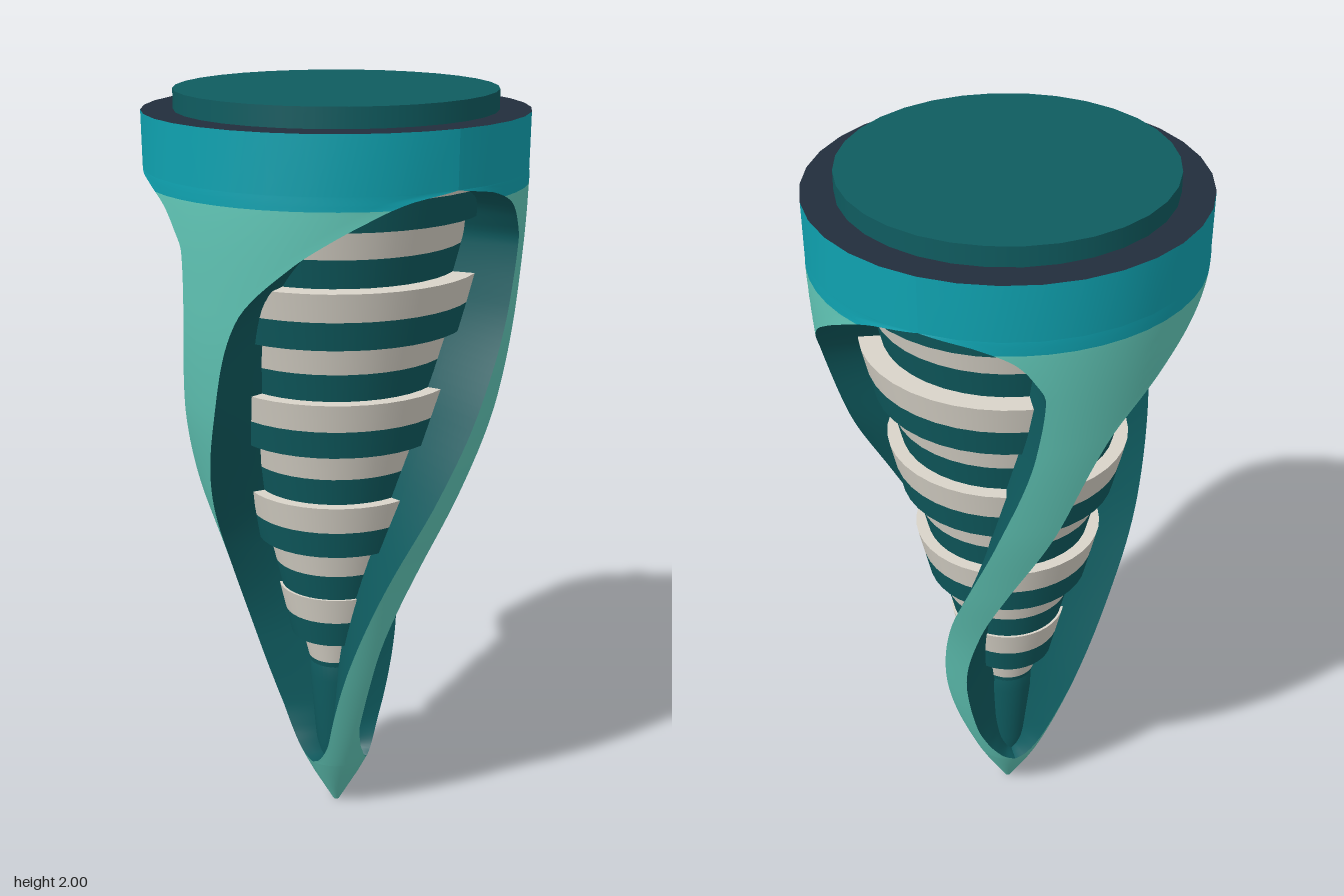
import * as THREE from 'three';

const paint = (name, color) => {
  const m = new THREE.MeshStandardMaterial({ color });
  m.name = name;
  return m;
};

// Smooth monotone interpolation of [x, value] knots
function curve(k) {
  const n = k.length;
  const d = [];
  for (let i = 0; i < n - 1; i++) d.push((k[i + 1][1] - k[i][1]) / (k[i + 1][0] - k[i][0]));
  const slope = k.map((_, i) => {
    if (i === 0) return d[0];
    if (i === n - 1) return d[n - 2];
    return d[i - 1] * d[i] <= 0 ? 0 : (2 * d[i - 1] * d[i]) / (d[i - 1] + d[i]);
  });
  return (x) => {
    if (x <= k[0][0]) return k[0][1];
    if (x >= k[n - 1][0]) return k[n - 1][1];
    let i = 0;
    while (x > k[i + 1][0]) i++;
    const h = k[i + 1][0] - k[i][0], t = (x - k[i][0]) / h, t2 = t * t, t3 = t2 * t;
    return (2 * t3 - 3 * t2 + 1) * k[i][1] + (t3 - 2 * t2 + t) * h * slope[i]
      + (3 * t2 - 2 * t3) * k[i + 1][1] + (t3 - t2) * h * slope[i + 1];
  };
}

// Outer radius by height
const radius = curve([[0, 0.008], [0.15, 0.09], [0.4, 0.185], [0.75, 0.288], [1, 0.368],
  [1.25, 0.43], [1.5, 0.465], [1.775, 0.483], [1.95, 0.485]]);
// Left and right edge of a window, in degrees from the front, by height
const edgeL = curve([[0.15, -62], [0.165, -80], [0.19, -92], [0.23, -103], [0.3, -110], [0.5, -107],
  [0.8, -90], [1, -76], [1.2, -62], [1.5, -46], [1.65, -27], [1.7, -18], [1.75, -7], [1.79, 5], [1.81, 20]]);
const edgeR = curve([[0.15, -62], [0.165, -46], [0.19, -35], [0.23, -26], [0.3, -20], [0.5, -7],
  [0.8, 14], [1, 28.5], [1.2, 40], [1.5, 52], [1.65, 54], [1.7, 51], [1.75, 46], [1.79, 35], [1.81, 20]]);

// Surface from rows of points: point(row height, u in 0..1) -> [degrees, radius]
function surface(heights, cols, point) {
  const pos = [], index = [];
  heights.forEach((y, j) => {
    for (let i = 0; i <= cols; i++) {
      const [deg, r] = point(y, i / cols);
      const a = THREE.MathUtils.degToRad(deg);
      pos.push(r * Math.sin(a), y, r * Math.cos(a));
      if (j > 0 && i > 0) {
        const d = j * (cols + 1) + i, c = d - 1, b = d - cols - 1, e = b - 1;
        index.push(e, b, d, e, d, c);
      }
    }
  });
  const g = new THREE.BufferGeometry();
  g.setAttribute('position', new THREE.Float32BufferAttribute(pos, 3));
  g.setIndex(index);
  g.computeVertexNormals();
  return g;
}

export function createModel() {
  const group = new THREE.Group();
  const mint = paint('mint shell', 0x62c9b9);
  const cyan = paint('cyan collar', 0x0fa3b1);
  const teal = paint('dark teal', 0x0f5c60);
  const navy = paint('navy rim', 0x222e3c);
  const cream = paint('cream stripe', 0xd9d4c9);
  const tealWall = paint('dark teal wall', 0x0f5c60);
  tealWall.side = THREE.DoubleSide;

  const add = (name, geometry, material, y = 0) => {
    const m = new THREE.Mesh(geometry, material);
    m.name = name;
    m.position.y = y;
    group.add(m);
    return m;
  };

  // Heights bunched near both ends of the windows
  const split = 1.775;
  const windowRows = [split];
  for (let i = 0; i <= 90; i++) windowRows.push(0.15 + 1.66 * (1 - Math.cos(Math.PI * i / 90)) / 2);
  windowRows.sort((a, b) => a - b);
  const rows = [0, 0.05, 0.1, ...windowRows, 1.95];
  const lower = rows.filter((y) => y <= split);
  const upper = rows.filter((y) => y >= split);

  // Three twisted ribs, joined at the tip and the collar
  for (let k = 0; k < 3; k++) {
    const turn = 120 * k;
    const skin = (y, u) => {
      const a = edgeR(y), b = edgeL(y) + 120;
      return [a + (b - a) * u + turn, radius(y)];
    };
    add('twistedRib', surface(lower, 11, skin), mint);
    add('collar', surface(upper, 11, skin), cyan);
    // Radial walls on both sides of each window
    for (const edge of [edgeL, edgeR]) {
      add('windowWall', surface(windowRows, 3, (y, u) =>
        [edge(y) + turn, radius(y) + (0.02 - radius(y)) * u]), tealWall);
    }
  }

  // Floor of the windows below the core
  const floor = [[0.03, 0.1], [0.055, 0.2], [0.072, 0.4], [0.072, 0.5], [0.03, 0.58]];
  add('windowFloor', new THREE.LatheGeometry(floor.map(([x, y]) => new THREE.Vector2(x, y)), 32), teal);

  // Striped core: alternating wide and narrow steps, each cream above and teal below
  const h = 0.0733;
  [0.41, 0.37, 0.31, 0.245, 0.155].forEach((r, j) => {
    const top = 1.853 - j * 4 * h;
    const step = (name, r0, r1, y) => {
      const mid = (r0 + r1) / 2;
      add(name + 'Stripe', new THREE.CylinderGeometry(r0, mid, h, 40), cream, y - h / 2);
      add(name + 'Band', new THREE.CylinderGeometry(mid, r1, h, 40), teal, y - h * 1.5);
    };
    step('wideCore', r, r - 0.033, top);
    step('narrowCore', r - 0.062, r - 0.097, top - 2 * h);
  });

  // Rim and raised cap
  const rim = new THREE.CircleGeometry(0.485, 33, THREE.MathUtils.degToRad(-70));
  rim.rotateX(-Math.PI / 2);
  add('topRim', rim, navy, 1.95);
  add('topCap', new THREE.CylinderGeometry(0.405, 0.405, 0.05, 32), teal, 1.975);

  return group;
}
